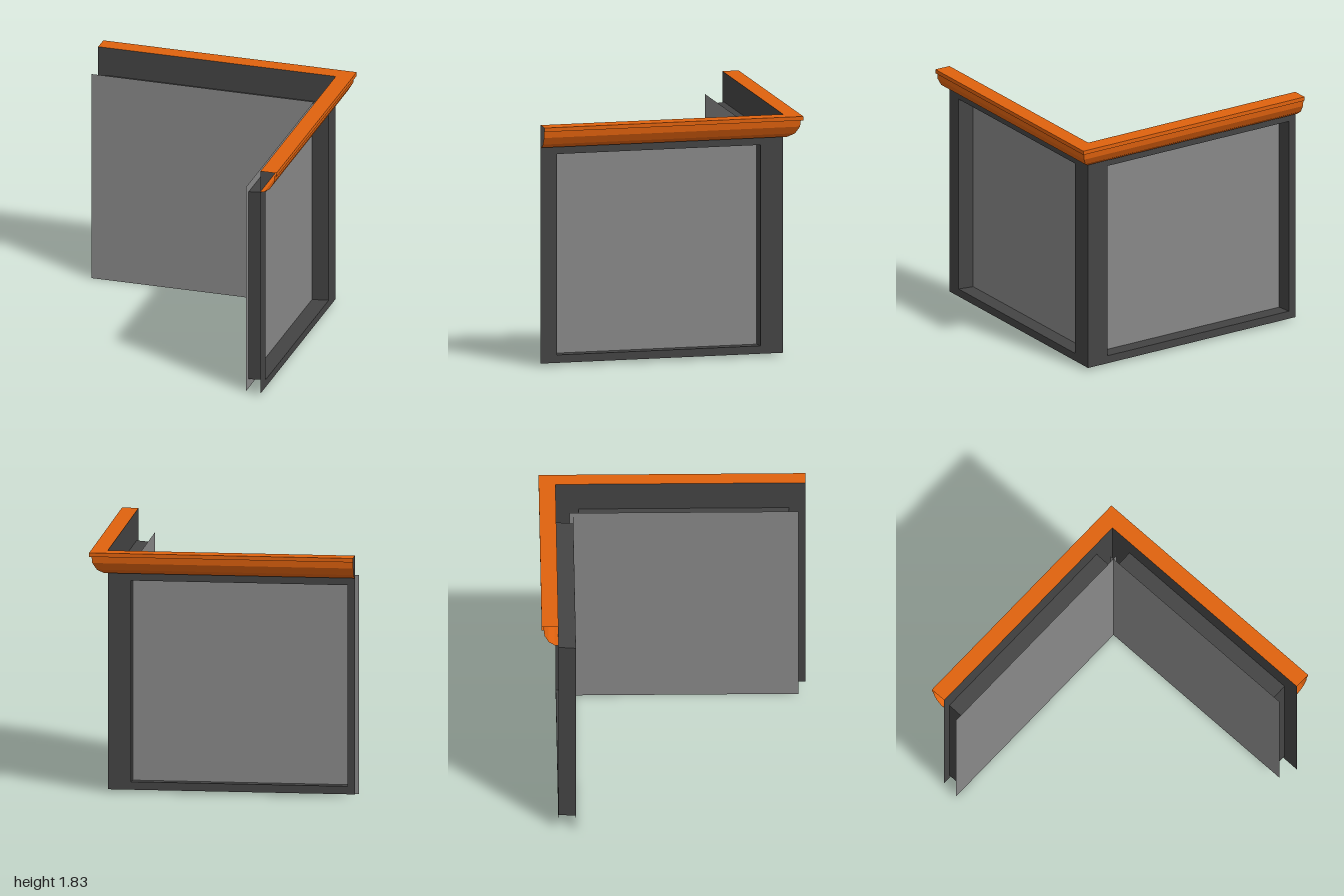
import * as THREE from 'three';

const WALL = 0.873;    // distance of both outer wall faces from the centre
const REVEAL = 0.131;  // depth of the window recess
const TOP = 1.83;

const material = (color) =>
  new THREE.MeshStandardMaterial({ color, side: THREE.DoubleSide, flatShading: true });
const frameMat = material(0x444444);
const paneMat = material(0x888888);
const trimMat = material(0xe0620e);

// Skins a row of cross-sections, each an array of [x, y, z], with flat quads.
function loft(sections) {
  const pos = [];
  for (let i = 0; i < sections.length - 1; i++) {
    for (let j = 0; j < sections[i].length - 1; j++) {
      const a = sections[i][j], b = sections[i + 1][j];
      const c = sections[i + 1][j + 1], d = sections[i][j + 1];
      pos.push(...a, ...b, ...c, ...a, ...c, ...d);
    }
  }
  const geo = new THREE.BufferGeometry();
  geo.setAttribute('position', new THREE.Float32BufferAttribute(pos, 3));
  geo.computeVertexNormals();
  return geo;
}

function addMesh(group, name, geo, mat) {
  const mesh = new THREE.Mesh(geo, mat);
  mesh.name = name;
  group.add(mesh);
  return mesh;
}

// Closed rectangle, counter-clockwise, at depth z.
const rect = (l, r, b, t, z) =>
  [[l, b, z], [r, b, z], [r, t, z], [l, t, z], [l, b, z]];

const toPoints = (loop) => loop.slice(0, 4).map(([x, y]) => new THREE.Vector2(x, y));

// One wall, built facing +z: thin face with an opening, recess sides and pane.
function makeWall(name, [wl, wr], [ol, or], [pl, pr]) {
  const wall = new THREE.Group();
  wall.name = name;

  const shape = new THREE.Shape(toPoints(rect(wl, wr, 0.02, TOP, 0)));
  shape.holes.push(new THREE.Path(toPoints(rect(ol, or, 0.08, 1.605, 0)).reverse()));
  addMesh(wall, 'wallFace', new THREE.ShapeGeometry(shape), frameMat);

  // recess sides dip slightly toward the inside
  addMesh(wall, 'windowReveal', loft([
    rect(ol, or, 0.08, 1.605, 0),
    rect(ol, or, 0.07, 1.595, -REVEAL),
  ]), frameMat);

  const pane = addMesh(wall, 'windowPane', new THREE.PlaneGeometry(pr - pl, 1.66), paneMat);
  pane.position.set((pl + pr) / 2, 0.83, -REVEAL);
  return wall;
}

export function createModel() {
  const model = new THREE.Group();
  model.name = 'cornerWindowWalls';

  const side = makeWall('sideWall', [-0.995, WALL], [-0.87, 0.70], [-0.94, 0.77]);
  side.rotation.y = Math.PI / 2;
  side.position.x = WALL;

  const back = makeWall('backWall', [-WALL, 0.987], [-0.70, 0.93], [-0.775, 1.0]);
  back.rotation.y = Math.PI;
  back.position.z = -WALL;

  // Cornice: open-ended moulding swept along both walls, mitred at the corner.
  // Profile points are [distance out from the wall, height].
  const profile = [
    [0, TOP], [0.125, TOP], [0.125, 1.80], [0.109, 1.80],
    [0.104, 1.75], [0.073, 1.695], [0.027, 1.663], [0, 1.663],
  ];
  const cornice = loft([
    profile.map(([d, y]) => [WALL + d, y, 0.995]),
    profile.map(([d, y]) => [WALL + d, y, -WALL - d]),
    profile.map(([d, y]) => [-0.987, y, -WALL - d]),
  ]);
  addMesh(model, 'cornice', cornice, trimMat);

  model.add(side, back);
  return model;
}
